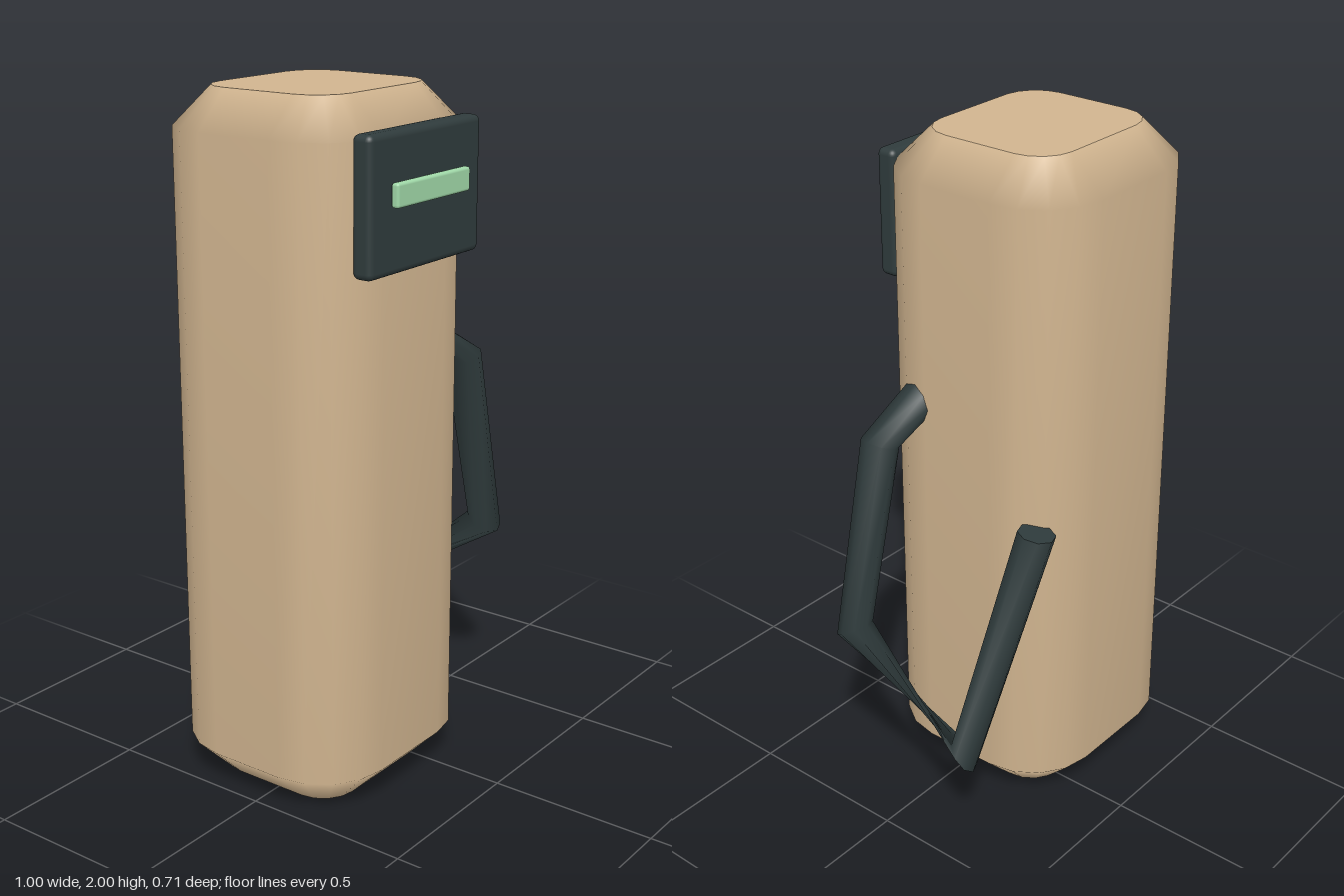
import * as THREE from 'three';
import { RoundedBoxGeometry } from 'three/addons/geometries/RoundedBoxGeometry.js';

const V = (x, y, z) => new THREE.Vector3(x, y, z);

// Smooth skin over rings of equal point count, with sharp flat end caps.
function loft(rings) {
  const n = rings[0].length, pos = [], index = [];
  const add = p => pos.push(p.x, p.y, p.z) / 3 - 1;
  rings.forEach(r => r.forEach(add));
  for (let i = 0; i < rings.length - 1; i++) {
    for (let j = 0; j < n; j++) {
      const k = (j + 1) % n, a = i * n + j, b = i * n + k;
      index.push(a, b, b + n, a, b + n, a + n);
    }
  }
  [rings[0], rings[rings.length - 1]].forEach((ring, end) => {
    const centre = V(0, 0, 0);
    ring.forEach(p => centre.addScaledVector(p, 1 / n));
    const c = add(centre), first = c + 1;
    ring.forEach(add);
    for (let j = 0; j < n; j++) {
      const a = first + j, b = first + (j + 1) % n;
      if (end) index.push(c, a, b); else index.push(c, b, a);
    }
  });
  const g = new THREE.BufferGeometry();
  g.setAttribute('position', new THREE.Float32BufferAttribute(pos, 3));
  g.setIndex(index);
  g.computeVertexNormals();
  return g;
}

// Rounded rectangle outline at height y with the given corner radius.
function bodyRing(y, r) {
  const pts = [];
  for (let q = 0; q < 4; q++) {
    const sz = q === 0 || q === 3 ? 1 : -1, sx = q < 2 ? 1 : -1;
    for (let s = 0; s <= 4; s++) {
      const a = (q + s / 4) * Math.PI / 2;
      pts.push(V(-0.15 + sx * 0.14 + r * Math.sin(a), y, -0.031 + sz * 0.115 + r * Math.cos(a)));
    }
  }
  return pts;
}

// Eight-sided rings, each set square to its own direction along the hose.
function hoseRings(stations, radius) {
  let u = V(0, 0, 1);
  return stations.map(([p, dir]) => {
    const t = dir.clone().normalize();
    u = u.clone().addScaledVector(t, -u.dot(t)).normalize();
    const v = t.clone().cross(u);
    return Array.from({ length: 8 }, (_, j) => {
      const a = j * Math.PI / 4;
      return p.clone().addScaledVector(u, radius * Math.cos(a)).addScaledVector(v, radius * Math.sin(a));
    });
  });
}

export function createModel() {
  const tan = new THREE.MeshStandardMaterial({ name: 'tan', color: 0xd0b48f });
  const charcoal = new THREE.MeshStandardMaterial({ name: 'charcoal', color: 0x2f3b3c });
  const green = new THREE.MeshStandardMaterial({ name: 'paleGreen', color: 0xa0d8a8 });

  const group = new THREE.Group();
  const add = (name, geometry, material, x = 0, y = 0, z = 0) => {
    const mesh = new THREE.Mesh(geometry, material);
    mesh.name = name;
    mesh.position.set(x, y, z);
    group.add(mesh);
  };

  // Upright cabinet with chamfered top and bottom
  add('cabinet', loft([
    bodyRing(0, 0.105), bodyRing(0.105, 0.21), bodyRing(1.895, 0.21), bodyRing(2, 0.105),
  ]), tan);

  // Display panel and its lit bar
  add('displayPanel', new RoundedBoxGeometry(0.5, 0.37, 0.062, 3, 0.018), charcoal, -0.15, 1.732, 0.3);
  add('displayBar', new RoundedBoxGeometry(0.33, 0.065, 0.024, 2, 0.008), green, -0.152, 1.758, 0.345);

  // Hanging hose: position and direction at each bend
  add('hose', loft(hoseRings([
    [V(0.175, 1.25, 0.125), V(1, -0.1, 0)],
    [V(0.325, 1.165, 0.14), V(0.36, -0.93, 0.05)],
    [V(0.447, 0.605, 0.15), V(0.05, -0.87, -0.48)],
    [V(0.42, 0.32, -0.237), V(-0.35, 0.62, -0.65)],
    [V(0.18, 0.972, -0.302), V(-0.12, 1, -0.12)],
  ], 0.055)), charcoal);

  return group;
}
